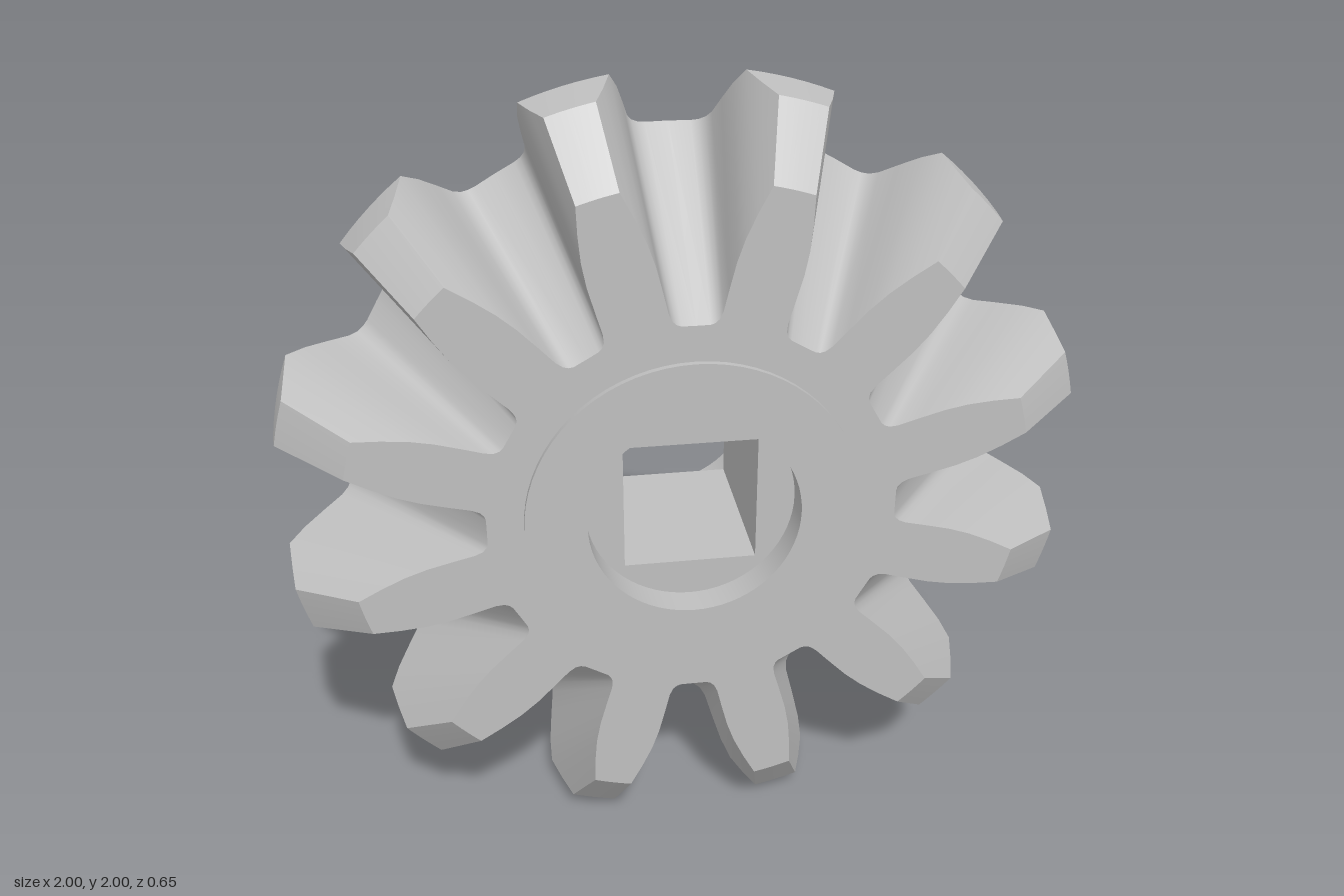
import * as THREE from 'three';
import { toCreasedNormals } from 'three/addons/utils/BufferGeometryUtils.js';

const TEETH = 12, APEX = 0.96, FRONT = 0.31, RIM_R = 0.75, RIM_Z = -0.235, HUB_R = 0.41;
const DEG = Math.PI / 180;

// Gap between teeth: [cone slope from the apex, half angle of the gap in degrees]
const GAP = [
  [0.766, 0], [0.768, 3.8], [0.775, 5], [0.79, 6], [0.82, 6.7], [0.9, 7.3],
  [1.0, 8], [1.086, 8.9], [1.18, 10.2], [1.277, 11.6],
];

// Where a ray from the apex leaves the blank, on the back cone or the tooth tip
function backPoint(q) {
  const s = q <= 1.086 ? 0.981 : -0.093;
  const z = (APEX * q - 1.01 + 0.03 * s) / (s + q);
  return [q * (APEX - z), z];
}

function toothedBody() {
  const pos = [];
  const point = (r, z, a) => [r * Math.sin(a), r * Math.cos(a), z];
  const quad = (a, b, c, d) => pos.push(...a, ...b, ...c, ...a, ...c, ...d);
  const half = Math.PI / TEETH, steps = 6;
  const front = GAP.map(([q, g]) => [q * (APEX - FRONT), FRONT, half - g * DEG]);
  const back = GAP.map(([q, g]) => [...backPoint(q), half - g * DEG]);
  // One strip runs up the front face, over the tip and down the back cone
  const rows = [[HUB_R - 0.02, FRONT, half], ...front, ...back.slice().reverse(), [RIM_R, RIM_Z, half]];
  for (let t = 0; t < TEETH; t++) {
    const mid = (2 * t + 1) * half;
    const at = ([r, z, h], f) => point(r, z, mid + h * f);
    for (let i = 0; i < rows.length - 1; i++) {
      for (let j = 0; j < steps; j++) {
        const f0 = -1 + 2 * j / steps, f1 = -1 + 2 * (j + 1) / steps;
        quad(at(rows[i], f0), at(rows[i], f1), at(rows[i + 1], f1), at(rows[i + 1], f0));
      }
    }
    // Flanks and root on both sides of the tooth
    for (let k = 0; k < GAP.length - 1; k++) {
      quad(at(front[k], 1), at(back[k], 1), at(back[k + 1], 1), at(front[k + 1], 1));
      quad(at(front[k + 1], -1), at(back[k + 1], -1), at(back[k], -1), at(front[k], -1));
    }
  }
  const geo = new THREE.BufferGeometry();
  geo.setAttribute('position', new THREE.Float32BufferAttribute(pos, 3));
  return toCreasedNormals(geo, 0.6);
}

// Revolves an [r, z] profile about the z axis
function turned(profile) {
  const geo = new THREE.LatheGeometry(profile.map(([r, z]) => new THREE.Vector2(r, z)), 72);
  return toCreasedNormals(geo.rotateX(Math.PI / 2), 0.5);
}

export function createModel() {
  const model = new THREE.Group();
  model.name = 'bevelGear';
  const grey = new THREE.MeshStandardMaterial({ color: 0xbfbfbf });
  grey.name = 'light grey';
  const gear = new THREE.Group();
  gear.name = 'gear';
  gear.position.y = 1;
  model.add(gear);
  const add = (name, geo) => {
    const mesh = new THREE.Mesh(geo, grey);
    mesh.name = name;
    gear.add(mesh);
    return mesh;
  };

  add('toothedBody', toothedBody());

  // Hollow back with its flat rim
  add('backPocket', turned([[HUB_R - 0.01, 0.17], [0.63, -0.12], [0.63, RIM_Z], [RIM_R, RIM_Z]]));

  // Hub with a round recess at each end
  const boreR = 0.26, floorFront = 0.245, floorBack = -0.21;
  add('hub', turned([
    [boreR, floorBack], [boreR, -0.33], [HUB_R, -0.33],
    [HUB_R, 0.325], [boreR, 0.325], [boreR, floorFront],
  ]));

  // Core with the square axle hole
  const s = 0.165;
  const core = new THREE.Shape().absarc(0, 0, boreR + 0.005, 0, Math.PI * 2);
  core.holes.push(new THREE.Path([[-s, -s], [-s, s], [s, s], [s, -s], [-s, -s]].map(p => new THREE.Vector2(...p))));
  const coreGeo = new THREE.ExtrudeGeometry(core, { depth: floorFront - floorBack, bevelEnabled: false, curveSegments: 36 });
  add('axleCore', coreGeo.translate(0, 0, floorBack));

  // Six ribs between hub and rim
  const rib = new THREE.Shape([[0.4, RIM_Z], [0.635, RIM_Z], [0.635, -0.1], [0.4, 0.19]].map(p => new THREE.Vector2(...p)));
  const ribGeo = new THREE.ExtrudeGeometry(rib, { depth: 0.08, bevelEnabled: false });
  ribGeo.translate(0, 0, -0.04).rotateX(Math.PI / 2);
  for (let i = 0; i < 6; i++) add('rib', ribGeo).rotation.z = (30 + 60 * i) * DEG;

  return model;
}
